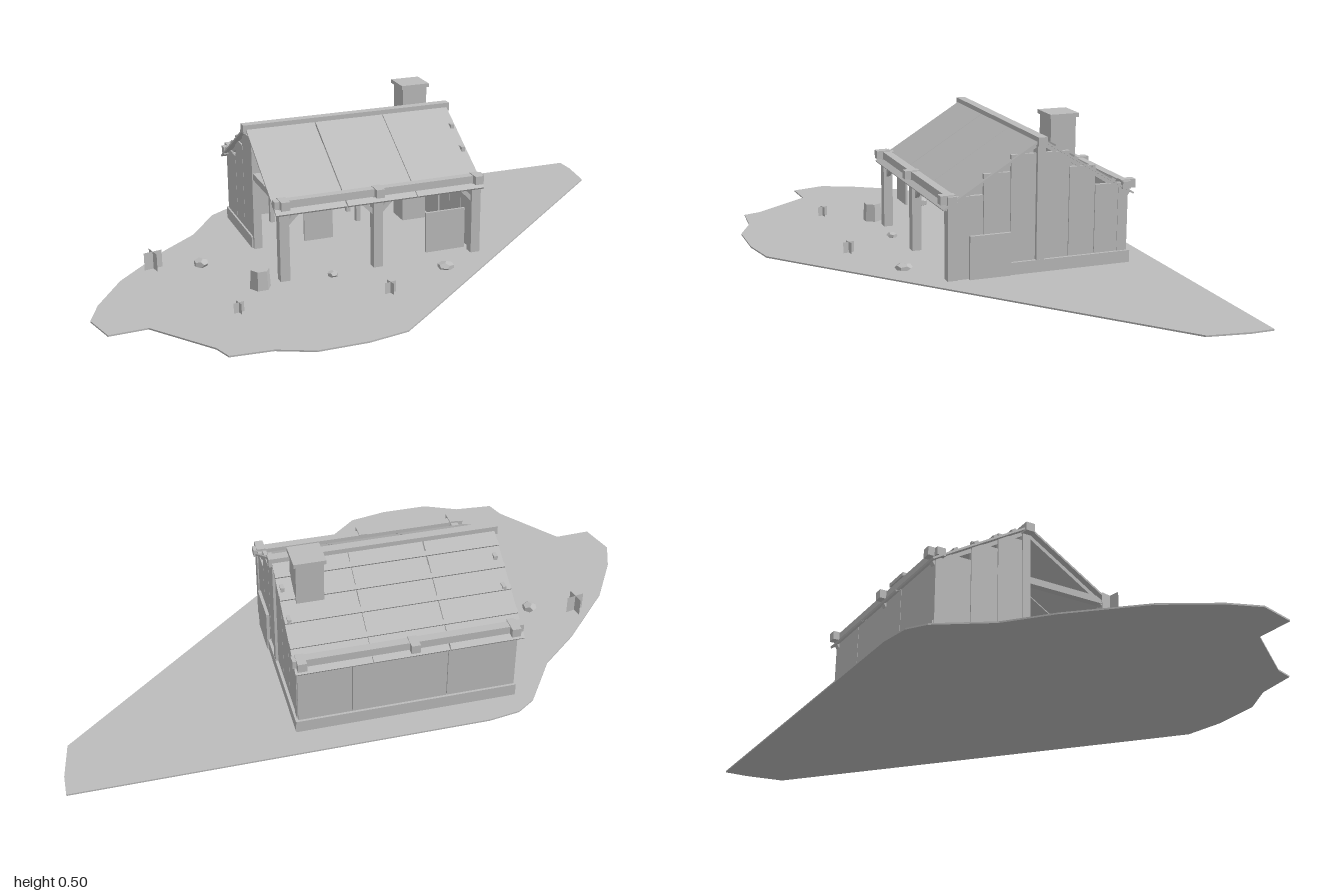
import * as THREE from 'three';

export function createModel() {
  const model = new THREE.Group();
  const clay = new THREE.MeshStandardMaterial({ color: 0xbcbcbc });
  clay.name = 'pale grey';
  clay.side = THREE.DoubleSide;
  clay.flatShading = true;

  const add = (name, geometry, x = 0, y = 0, z = 0, parent = model) => {
    const mesh = new THREE.Mesh(geometry, clay);
    mesh.name = name;
    mesh.position.set(x, y, z);
    parent.add(mesh);
    return mesh;
  };
  // Box given by its lower and upper limits on each axis
  const box = (name, x0, x1, y0, y1, z0, z1) =>
    add(name, new THREE.BoxGeometry(x1 - x0, y1 - y0, z1 - z0), (x0 + x1) / 2, (y0 + y1) / 2, (z0 + z1) / 2);

  // Irregular ground slab
  const outline = [
    [-0.44, -0.55], [-0.38, -0.59], [-0.28, -0.605], [1, -0.605], [1, -0.53], [0.98, -0.4],
    [-0.05, 0.49], [-0.15, 0.575], [-0.28, 0.6], [-0.44, 0.6], [-0.55, 0.55], [-0.68, 0.54],
    [-0.7, 0.48], [-0.85, 0.28], [-0.97, 0.285], [-1, 0.17], [-0.96, 0.07], [-0.86, -0.09],
    [-0.68, -0.28], [-0.55, -0.39],
  ];
  const shape = new THREE.Shape(outline.map(([x, z]) => new THREE.Vector2(x, -z)));
  const slab = new THREE.ExtrudeGeometry(shape, { depth: 0.005, bevelEnabled: false });
  slab.rotateX(-Math.PI / 2);
  add('ground', slab);

  const ridgeZ = -0.2;
  const frames = [-0.375, -0.06, 0.285];
  const slope = Math.atan2(0.197, 0.322);

  // Roof halves: thin panels, eave beams and rafter ends
  for (const side of [1, -1]) {
    const half = new THREE.Group();
    half.name = side > 0 ? 'frontRoof' : 'backRoof';
    half.position.set(0, 0.332, ridgeZ + side * 0.161);
    half.rotation.x = side * slope;
    model.add(half);
    for (const [x0, x1] of [[-0.405, -0.172], [-0.168, 0.068], [0.07, 0.305]])
      add('roofPanel', new THREE.BoxGeometry(x1 - x0, 0.006, 0.378), (x0 + x1) / 2, 0, 0, half);
    for (const x of frames)
      add('rafter', new THREE.BoxGeometry(0.018, 0.012, 0.36), x, -0.009, 0, half);
    if (side < 0) {
      for (const z of [0.13, 0.055, -0.02, -0.1])
        add('roofBatten', new THREE.BoxGeometry(0.71, 0.006, 0.016), -0.05, 0.006, z, half);
    }
    const z = ridgeZ + side * 0.295;
    box('eaveBeam', -0.405, 0.31, 0.25, 0.275, z - 0.014, z + 0.014);
    for (const x of frames) {
      const end = ridgeZ + side * 0.305;
      box('crossBeamEnd', x - 0.014, x + 0.014, 0.25, 0.278, end - 0.025, end + 0.025);
    }
    // Side wall planks rising in steps towards the ridge
    const steps = [[0.305, 0.19, 0.27], [0.188, 0.1, 0.335], [0.098, 0.015, 0.388]];
    for (const [outer, inner, top] of steps) {
      const a = ridgeZ + side * outer, b = ridgeZ + side * inner;
      box('rightEndPlank', 0.285, 0.297, 0.005, top, Math.min(a, b), Math.max(a, b));
      if (side < 0) box('leftEndPlank', -0.389, -0.377, 0.005, top, a, b);
    }
  }
  box('ridgeBeam', -0.415, 0.315, 0.412, 0.44, -0.215, -0.185);
  box('rightRidgePost', 0.28, 0.305, 0.005, 0.42, -0.213, -0.187);
  box('leftRidgePost', -0.39, -0.362, 0.005, 0.42, -0.213, -0.187);
  box('tieBeam', -0.387, -0.363, 0.25, 0.272, -0.49, 0.09);

  // Back wall in three panels, with low sills
  for (const [x0, x1] of [[-0.388, -0.171], [-0.169, 0.128], [0.13, 0.297]])
    box('backWallPanel', x0, x1, 0.005, 0.26, -0.505, -0.493);
  box('backSill', -0.392, 0.305, 0.005, 0.045, -0.513, -0.493);
  box('rightSill', 0.285, 0.306, 0.005, 0.045, -0.51, -0.1);
  box('leftSill', -0.395, -0.375, 0.005, 0.045, -0.51, -0.2);

  // Porch posts with diagonal braces
  for (const x of frames) {
    box('frontPost', x - 0.016, x + 0.016, 0.005, 0.255, 0.075, 0.107);
    box('backPost', x - 0.014, x + 0.014, 0.005, 0.255, -0.497, -0.47);
    for (const s of [1, -1]) {
      const bx = x + s * 0.032;
      if (bx < -0.39 || bx > 0.29) continue;
      add('brace', new THREE.BoxGeometry(0.014, 0.075, 0.014), bx, 0.212, 0.09).rotation.z = -s * Math.PI / 4;
    }
  }

  // Leaning boards, hanging board and workbench
  box('frontBoard', 0.13, 0.27, 0.005, 0.145, 0.045, 0.053);
  box('sideBoard', 0.3, 0.31, 0.005, 0.145, -0.1, 0.037);
  box('hangingBoard', -0.3, -0.205, 0.12, 0.24, 0.07, 0.078);
  box('benchTop', -0.27, 0.035, 0.102, 0.115, -0.42, -0.3);
  for (const x of [-0.26, 0.025])
    for (const z of [-0.41, -0.31]) box('benchLeg', x - 0.008, x + 0.008, 0.005, 0.104, z - 0.008, z + 0.008);

  // Chimney with cap
  box('chimney', 0.172, 0.258, 0.005, 0.487, -0.335, -0.25);
  box('chimneyCap', 0.165, 0.265, 0.485, 0.498, -0.342, -0.245);

  // Six-sided chopping stump
  const stump = add('stump', new THREE.CylinderGeometry(0.03, 0.034, 0.062, 6), -0.462, 0.036, 0.12);
  stump.rotation.y = Math.PI / 6;

  // Flattened stones
  for (const [x, z, r, h] of [[-0.593, -0.11, 0.025, 0.018], [0.138, 0.197, 0.029, 0.013], [-0.222, 0.122, 0.019, 0.011]]) {
    const stone = add('stone', new THREE.DodecahedronGeometry(1, 0), x, 0.005 + h * 0.7, z);
    stone.scale.set(r, h, r);
    stone.rotation.y = x * 7;
  }

  // Crossed upright grass cards
  for (const [x, z, w, h] of [[-0.74, -0.15, 0.062, 0.06], [-0.575, 0.275, 0.035, 0.034], [-0.1, 0.31, 0.04, 0.038]]) {
    for (const turn of [0, Math.PI / 2])
      add('grass', new THREE.PlaneGeometry(w, h), x, 0.004 + h / 2, z).rotation.y = turn + 0.2;
  }
  return model;
}
